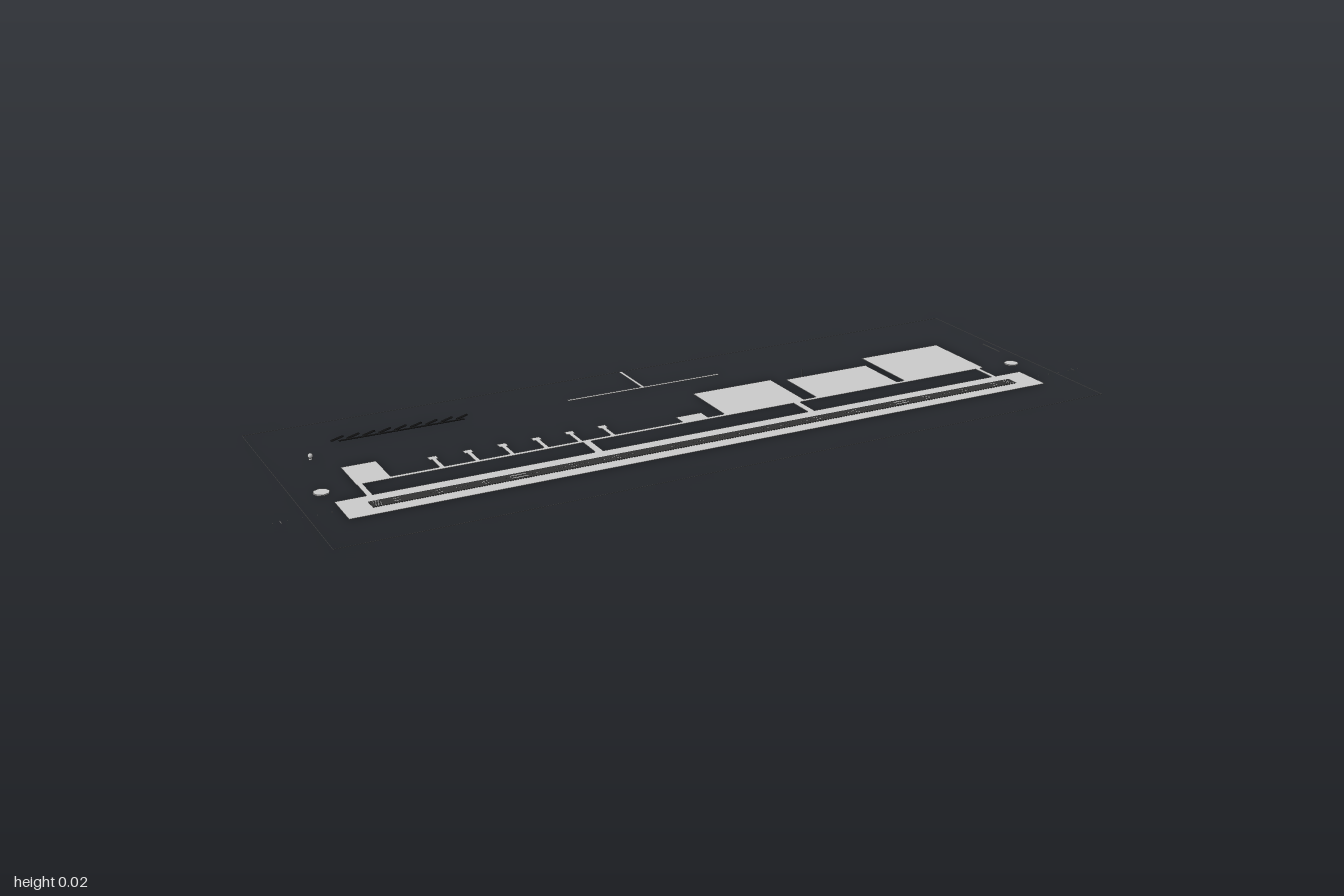
import * as THREE from 'three';

const grey = new THREE.MeshStandardMaterial({ color: 0xcccccc });
const asphalt = new THREE.MeshStandardMaterial({ color: 0x333333 });
const paint = new THREE.MeshStandardMaterial({ color: 0xcccccc });

export function createModel() {
  const model = new THREE.Group();

  function add(name, geometry, material, x, y, z) {
    const mesh = new THREE.Mesh(geometry, material);
    mesh.name = name;
    mesh.position.set(x, y, z);
    model.add(mesh);
    return mesh;
  }

  // Thin slab between two plan corners, resting at height y
  function slab(name, x0, x1, z0, z1, h = 0.001, y = 0, material = grey) {
    return add(name, new THREE.BoxGeometry(x1 - x0, h, z1 - z0), material,
      (x0 + x1) / 2, y + h / 2, (z0 + z1) / 2);
  }

  // Runway strip with the dark runway on it
  const rz = 0.164;
  slab('runwayStrip', -0.86, 0.858, 0.116, 0.214);
  slab('runway', -0.8, 0.8, rz - 0.016, rz + 0.016, 0.0006, 0.001, asphalt);

  // Runway markings, mirrored about the middle
  const mark = (name, x, z, w, d) =>
    slab(name, x - w / 2, x + w / 2, z - d / 2, z + d / 2, 0.0002, 0.0016, paint);
  for (const s of [-1, 1]) {
    for (const dz of [-0.006, 0.006]) {
      mark('aimingBar', s * 0.478, rz + dz, 0.036, 0.003);
      for (const x of [0.25, 0.355, 0.55, 0.655, 0.745]) {
        mark('touchdownBar', s * x, rz + dz, 0.012, 0.0016);
      }
    }
    for (let i = 0; i < 6; i++) {
      mark('thresholdBar', s * 0.785, rz - 0.0125 + i * 0.005, 0.015, 0.0012);
    }
  }
  for (let i = -12; i <= 12; i++) mark('centreDash', i * 0.055, rz, 0.025, 0.0006);

  // Parallel taxiway and its links to the runway strip
  slab('taxiway', -0.793, 0.793, 0.04, 0.052);
  for (const [x, w] of [[-0.786, 0.012], [-0.271, 0.018], [0.264, 0.017], [0.78, 0.012]]) {
    slab('taxiwayLink', x - w / 2, x + w / 2, 0.052, 0.116);
  }

  // Aprons
  const aprons = [
    [-0.793, -0.716, -0.056, 0.04],
    [-0.029, 0.036, 0.007, 0.04],
    [0.079, 0.29, -0.114, 0.05],
    [0.324, 0.551, -0.098, 0.05],
    [0.572, 0.798, -0.148, 0.05],
  ];
  for (const a of aprons) slab('apron', ...a);

  // Row of dispersal stands
  for (let i = 0; i < 6; i++) {
    const x = -0.602 + i * 0.08;
    slab('standLane', x - 0.005, x + 0.005, -0.008, 0.04);
    slab('standPad', x - 0.01, x + 0.01, -0.025, -0.007);
  }

  // Access road
  slab('crossRoad', -0.2, 0.2, -0.213, -0.204);
  slab('entryRoad', -0.008, 0, -0.335, -0.213);

  // Round pads beyond the taxiway ends
  for (const x of [-0.869, 0.877]) {
    add('roundPad', new THREE.CylinderGeometry(0.018, 0.018, 0.003, 8), grey, x, 0.0015, 0.058);
  }

  // Radar dome on its short tower
  add('domeTower', new THREE.CylinderGeometry(0.0035, 0.0045, 0.007, 10), grey, -0.836, 0.0035, -0.13);
  add('radarDome', new THREE.SphereGeometry(0.006, 16, 12), grey, -0.836, 0.009, -0.13);

  // Row of slanted dark bays behind a dark lane
  slab('bayLane', -0.75, -0.457, -0.209, -0.204, 0.0015, 0, asphalt);
  for (let i = 0; i < 9; i++) {
    const bay = add('slantedBay', new THREE.BoxGeometry(0.036, 0.003, 0.004), asphalt,
      -0.75 + i * 0.0365, 0.0015, -0.22);
    bay.rotation.y = 0.5;
  }

  // Slim mast and a thin antenna line
  add('mast', new THREE.CylinderGeometry(0.0006, 0.001, 0.02, 6), grey, 0.37, 0.01, -0.1);
  slab('antennaLine', 0.9075, 0.9105, -0.1, -0.03);

  // Approach lights beyond each runway end
  for (const s of [-1, 1]) {
    for (let i = 0; i < 5; i++) {
      const x = s * (0.879 + i * 0.03);
      slab('approachLight', x - 0.0006, x + 0.0006, rz - 0.002, rz + 0.002);
    }
    const x = s * 0.983;
    slab('approachBar', x - 0.001, x + 0.001, rz - 0.007, rz + 0.007);
  }

  // Perimeter fence
  for (const s of [-1, 1]) {
    slab('fenceLong', -0.93, 0.93, s * 0.335 - 0.0003, s * 0.335 + 0.0003);
    slab('fenceShort', s * 0.93 - 0.0003, s * 0.93 + 0.0003, -0.335, 0.335);
  }

  return model;
}
